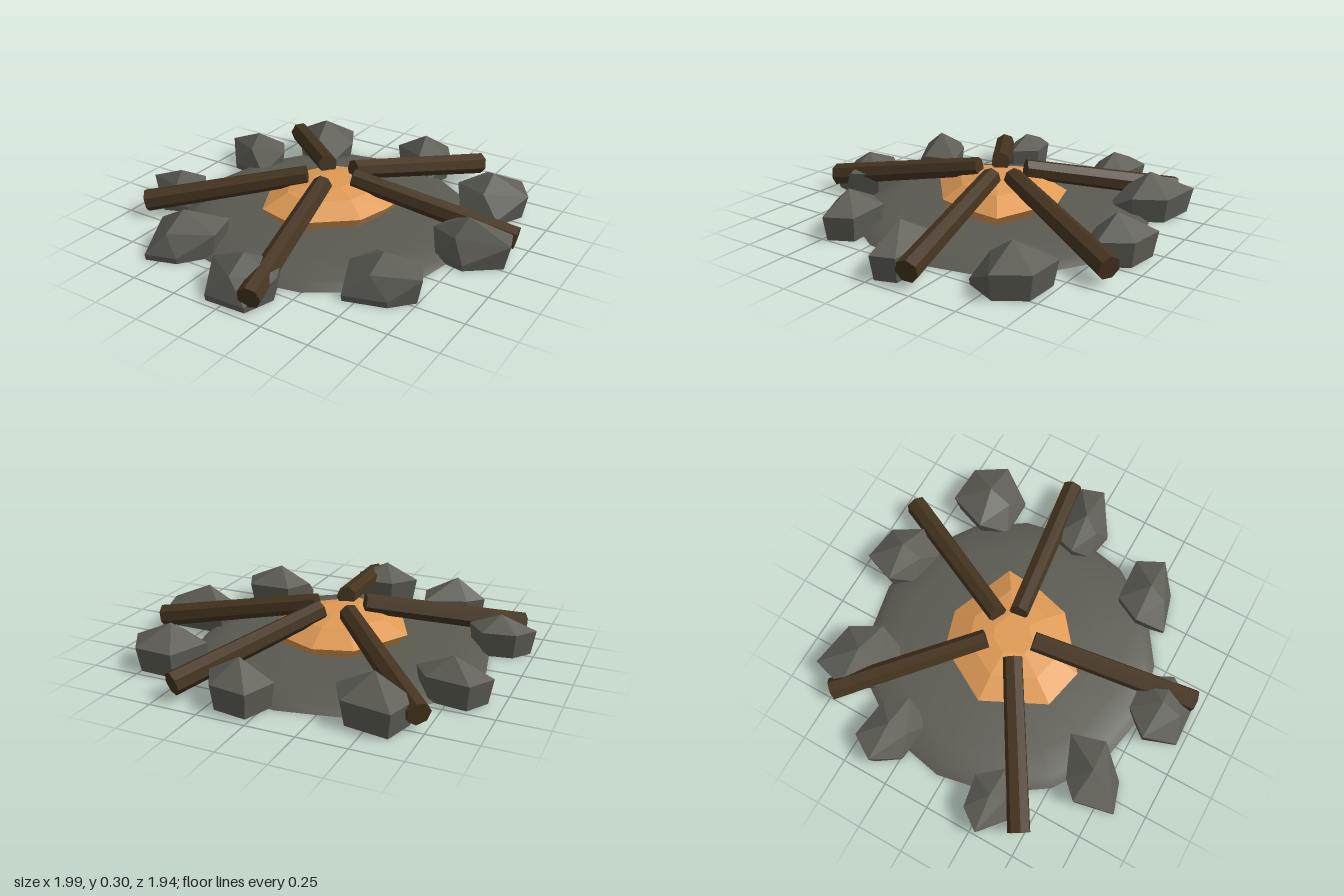
import * as THREE from 'three';
import { ConvexGeometry } from 'three/addons/geometries/ConvexGeometry.js';

const mat = (name, color) => Object.assign(new THREE.MeshStandardMaterial({ color }), { name });
const V = (x, y, z) => new THREE.Vector3(x, y, z);

export function createModel() {
  const group = new THREE.Group();
  const stoneMat = mat('stone grey', 0x5e5e56);
  const ashMat = mat('ash grey', 0x5a5a51);
  const woodMat = mat('charred wood', 0x453420);
  const emberMat = mat('ember orange', 0xdf9a55);

  const add = (name, geometry, material) => {
    const mesh = new THREE.Mesh(geometry, material);
    mesh.name = name;
    group.add(mesh);
    return mesh;
  };

  // Low ash mound with a flat underside
  const profile = [[0.78, 0], [0.73, 0.035], [0.6, 0.065], [0.3, 0.076], [0, 0.08]];
  const mound = new THREE.LatheGeometry(profile.map(p => new THREE.Vector2(...p)), 16);
  add('ashBed', mound, ashMat).position.set(-0.05, 0, -0.04);
  const base = add('ashBase', new THREE.CircleGeometry(0.78, 16), ashMat);
  base.rotation.x = Math.PI / 2;
  base.position.set(-0.05, 0.001, -0.04);

  // Irregular domed ember bed with an undercut rim
  const rim = [[-0.04, -0.39], [0.31, -0.25], [0.29, -0.05], [0.24, 0.13],
    [-0.03, 0.35], [-0.25, 0.30], [-0.41, -0.03], [-0.24, -0.33]];
  const ex = -0.03, ez = -0.03;
  const ringAt = (s, y) => rim.map(([x, z]) => V(ex + (x - ex) * s, y, ez + (z - ez) * s));
  const emberPoints = [...ringAt(0.85, 0.06), ...ringAt(1, 0.13),
    ...ringAt(0.65, 0.195), ...ringAt(0.3, 0.22)];
  add('emberBed', new ConvexGeometry(emberPoints), emberMat);

  // Logs leaning in towards the middle: outer x, z then inner x, z
  const logs = [
    [-0.72, -0.74, -0.13, -0.14],
    [0.425, -0.92, 0.02, -0.155],
    [0.95, -0.20, 0.08, -0.065],
    [0.15, 0.95, -0.02, 0.08],
    [-0.89, 0.48, -0.15, 0.03],
  ];
  logs.forEach(([ox, oz, ix, iz]) => {
    const a = V(ox, 0.085, oz), b = V(ix, 0.245, iz);
    const dir = b.clone().sub(a);
    const geo = new THREE.CylinderGeometry(0.052, 0.06, dir.length(), 7).toNonIndexed();
    geo.computeVertexNormals();
    const log = add('log', geo, woodMat);
    log.position.copy(a).add(b).multiplyScalar(0.5);
    log.quaternion.setFromUnitVectors(V(0, 1, 0), dir.normalize());
  });

  // Faceted stones: height, then six outline points; points 4 and 5 sit near the ground
  const stones = [
    [0.23, [-0.64, -0.88], [-0.39, -0.84], [-0.30, -0.68], [-0.36, -0.50], [-0.58, -0.55], [-0.69, -0.70]],
    [0.21, [-0.87, -0.49], [-0.65, -0.46], [-0.57, -0.35], [-0.63, -0.21], [-0.85, -0.24], [-0.95, -0.36]],
    [0.23, [0.01, -0.97], [0.21, -0.94], [0.30, -0.79], [0.24, -0.65], [0.04, -0.69], [-0.05, -0.80]],
    [0.22, [0.55, -0.74], [0.76, -0.73], [0.86, -0.57], [0.76, -0.40], [0.55, -0.40], [0.47, -0.53]],
    [0.23, [0.62, -0.14], [0.95, -0.14], [0.99, -0.02], [0.80, 0.11], [0.64, 0.08], [0.58, -0.01]],
    [0.22, [0.46, 0.34], [0.70, 0.33], [0.77, 0.47], [0.65, 0.58], [0.44, 0.64], [0.39, 0.48]],
    [0.21, [-0.06, 0.67], [0.13, 0.66], [0.20, 0.80], [0.13, 0.96], [-0.09, 0.97], [-0.17, 0.80]],
    [0.23, [-0.55, 0.56], [-0.33, 0.47], [-0.28, 0.65], [-0.41, 0.80], [-0.57, 0.85], [-0.63, 0.64]],
    [0.20, [-0.92, 0.18], [-0.75, 0.15], [-0.65, 0.27], [-0.72, 0.35], [-0.85, 0.40], [-1.0, 0.29]],
  ];
  stones.forEach(([h, ...outline]) => {
    const cx = outline.reduce((s, p) => s + p[0], 0) / 6;
    const cz = outline.reduce((s, p) => s + p[1], 0) / 6;
    const points = [V(cx, h, cz)];
    outline.forEach(([x, z], i) => {
      const low = i === 3 || i === 4;
      const s = low ? 0.98 : 0.88;
      points.push(V(x, low ? 0.03 : 0.13, z));
      points.push(V(cx + (x - cx) * s, 0, cz + (z - cz) * s));
    });
    // Upper corner between the two low points
    const mx = (outline[3][0] + outline[4][0]) / 2, mz = (outline[3][1] + outline[4][1]) / 2;
    points.push(V(cx + (mx - cx) * 0.72, 0.14, cz + (mz - cz) * 0.72));
    add('stone', new ConvexGeometry(points), stoneMat);
  });

  return group;
}
